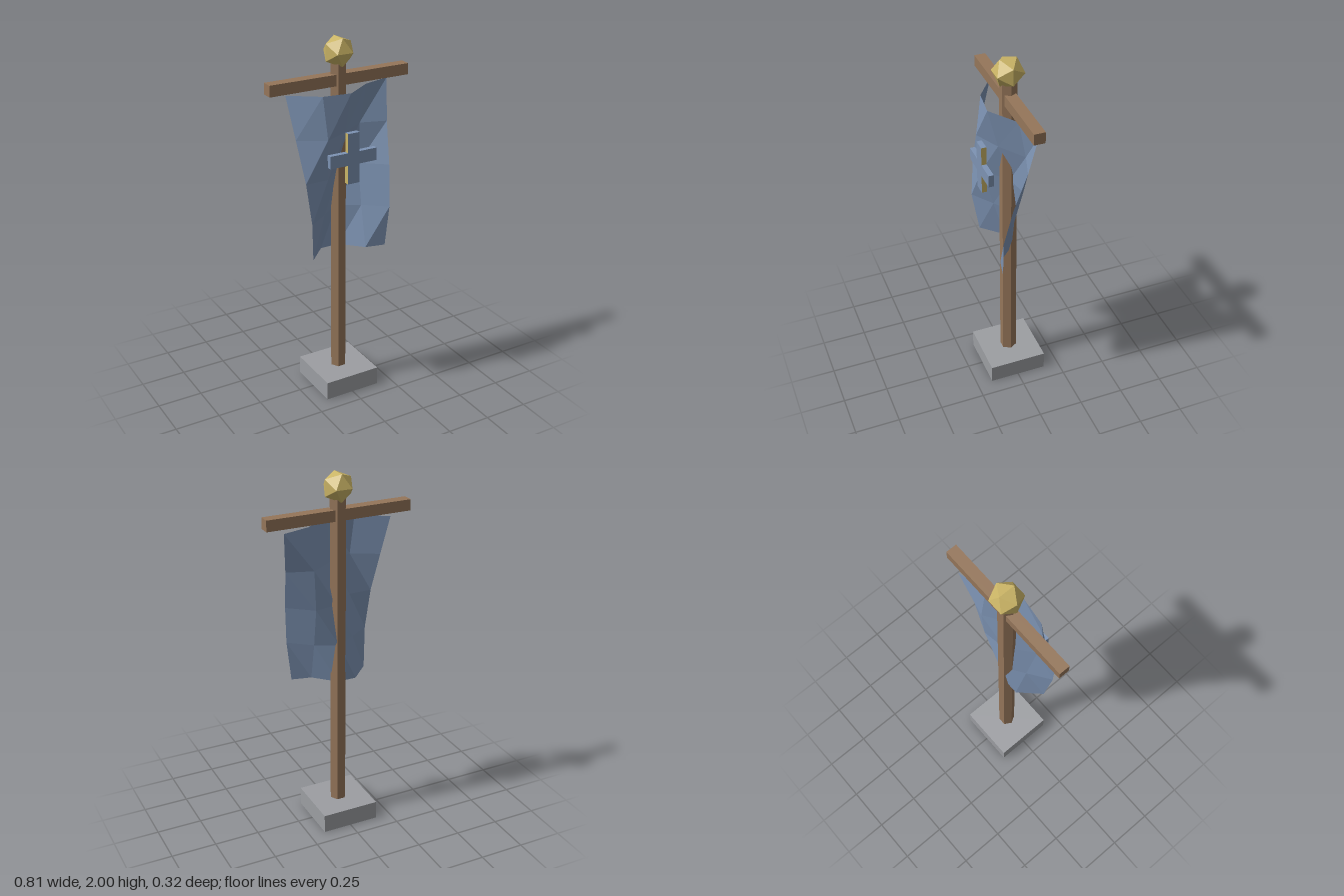
import * as THREE from 'three';

function mat(name, color, side = THREE.FrontSide) {
  const m = new THREE.MeshStandardMaterial({ color, side, flatShading: true });
  m.name = name;
  return m;
}

export function createModel() {
  const wood = mat('wood', 0x95765a);
  const stone = mat('stone', 0x9c9ea2);
  const gold = mat('gold', 0xcbb566);
  const blue = mat('blue', 0x7d93b3);
  const cloth = mat('blue cloth', 0x7d93b3, THREE.DoubleSide);

  const model = new THREE.Group();
  model.name = 'bannerStand';

  function add(name, geometry, material, x, y, z) {
    const mesh = new THREE.Mesh(geometry, material);
    mesh.name = name;
    mesh.position.set(x, y, z);
    model.add(mesh);
    return mesh;
  }

  // Stone foot, hexagonal pole and crossbar
  add('base', new THREE.BoxGeometry(0.324, 0.105, 0.324), stone, 0, 0.0525, 0);
  const pole = add('pole', new THREE.CylinderGeometry(0.046, 0.046, 1.88, 6), wood, 0, 0.942, 0);
  pole.rotation.y = Math.PI / 6;
  add('crossbar', new THREE.BoxGeometry(0.81, 0.06, 0.06), wood, 0, 1.785, 0);

  // Faceted finial
  const finial = add('finial', new THREE.IcosahedronGeometry(0.0855, 0), gold, 0, 1.927, 0);
  finial.rotation.y = Math.PI / 2;

  // Hanging cloth: tapers downwards, with a diagonal ripple
  const sheet = new THREE.PlaneGeometry(1, 1, 4, 4);
  const p = sheet.attributes.position;
  for (let k = 0; k < p.count; k++) {
    const col = k % 5, row = Math.floor(k / 5);
    const width = 0.61 - 0.045 * row;
    const ripple = Math.sin(1.57 + 1.46 * (col - 1) + 0.83 * (row - 1.1));
    p.setXYZ(k, 0.01 + width * (col / 4 - 0.5), 1.735 - 0.2225 * row, 0.043 + 0.083 * ripple);
  }
  sheet.computeVertexNormals();
  add('bannerCloth', sheet, cloth, 0, 0, 0);

  // Cross emblem: an upright with gilded sides and two arms
  add('emblemUpright', new THREE.BoxGeometry(0.068, 0.274, 0.028),
    [gold, gold, blue, blue, blue, blue], 0, 1.403, 0.144);
  for (const s of [-1, 1]) {
    add(s > 0 ? 'emblemArmLeft' : 'emblemArmRight',
      new THREE.BoxGeometry(0.103, 0.068, 0.028), blue, s * 0.0855, 1.403, 0.144);
  }

  return model;
}
